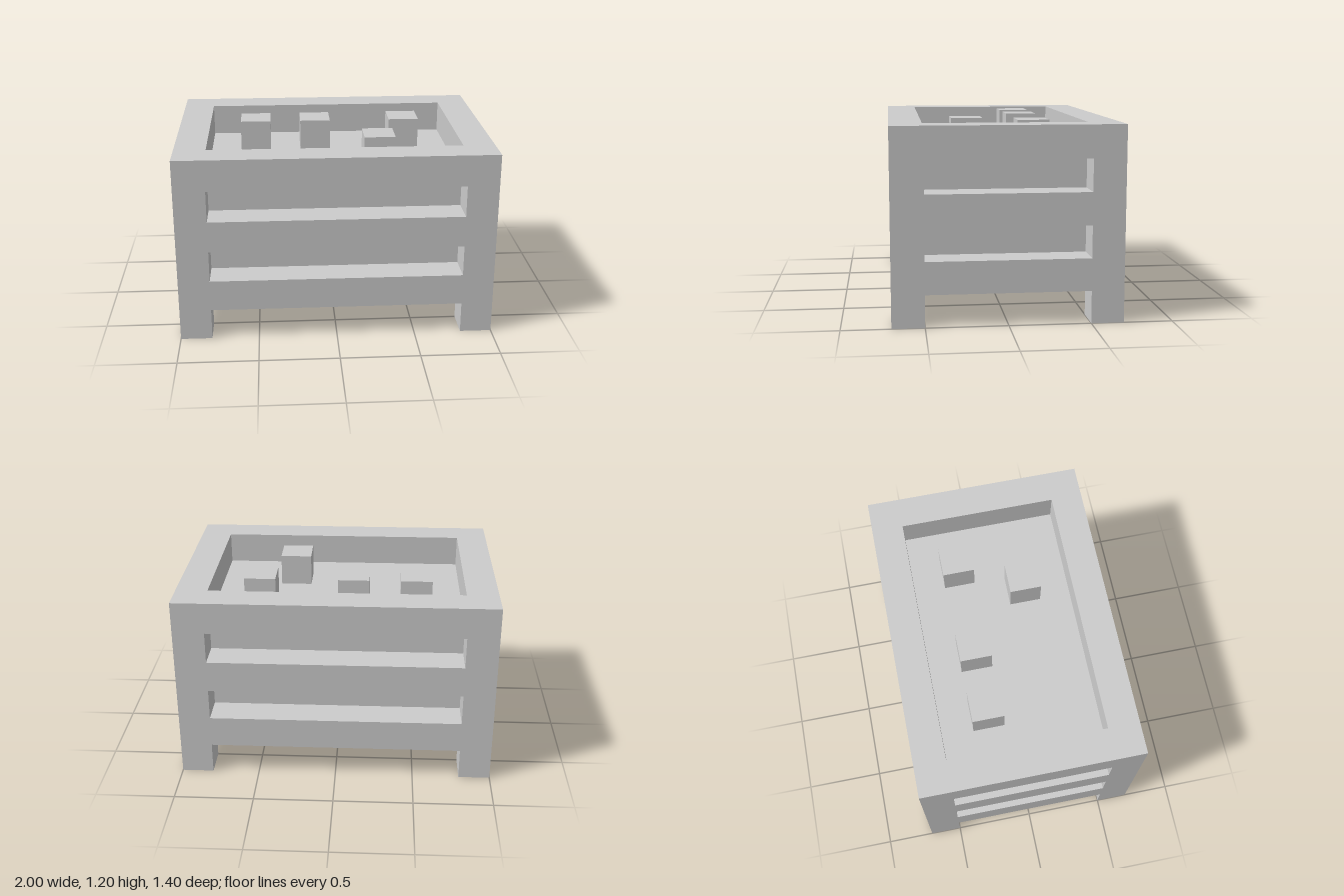
import * as THREE from 'three';

export function createModel() {
  const model = new THREE.Group();
  model.name = 'slattedPlanter';
  const material = new THREE.MeshStandardMaterial({ color: 0xcccccc, flatShading: true });

  // Box given by its size, its centre in x and z, and its underside height
  function addBox(name, w, h, d, x, bottom, z) {
    const mesh = new THREE.Mesh(new THREE.BoxGeometry(w, h, d), material);
    mesh.name = name;
    mesh.position.set(x, bottom + h / 2, z);
    model.add(mesh);
  }

  const T = 0.2; // thickness shared by posts, rails and blocks
  const X = 0.9, Z = 0.6; // centre lines of the frame

  // Solid filling, whose top is the floor of the tray
  addBox('filling', 1.6, 0.8, 1.0, 0, 0.2, 0);

  // Corner posts reaching down as legs
  for (const sx of [-1, 1])
    for (const sz of [-1, 1]) addBox('cornerPost', T, 1.2, T, sx * X, 0, sz * Z);

  // Three levels of rails around all four sides
  for (const y of [0.2, 0.6, 1.0])
    for (const s of [-1, 1]) {
      addBox('longRail', 1.6, T, T, 0, y, s * Z);
      addBox('shortRail', T, T, 1.0, s * X, y, 0);
    }

  // Small blocks standing on the filling
  for (const [x, z] of [[-0.5, -0.2], [-0.1, -0.2], [0.5, -0.2], [0.3, 0.2]])
    addBox('block', T, T, T, x, 1.0, z);

  return model;
}
